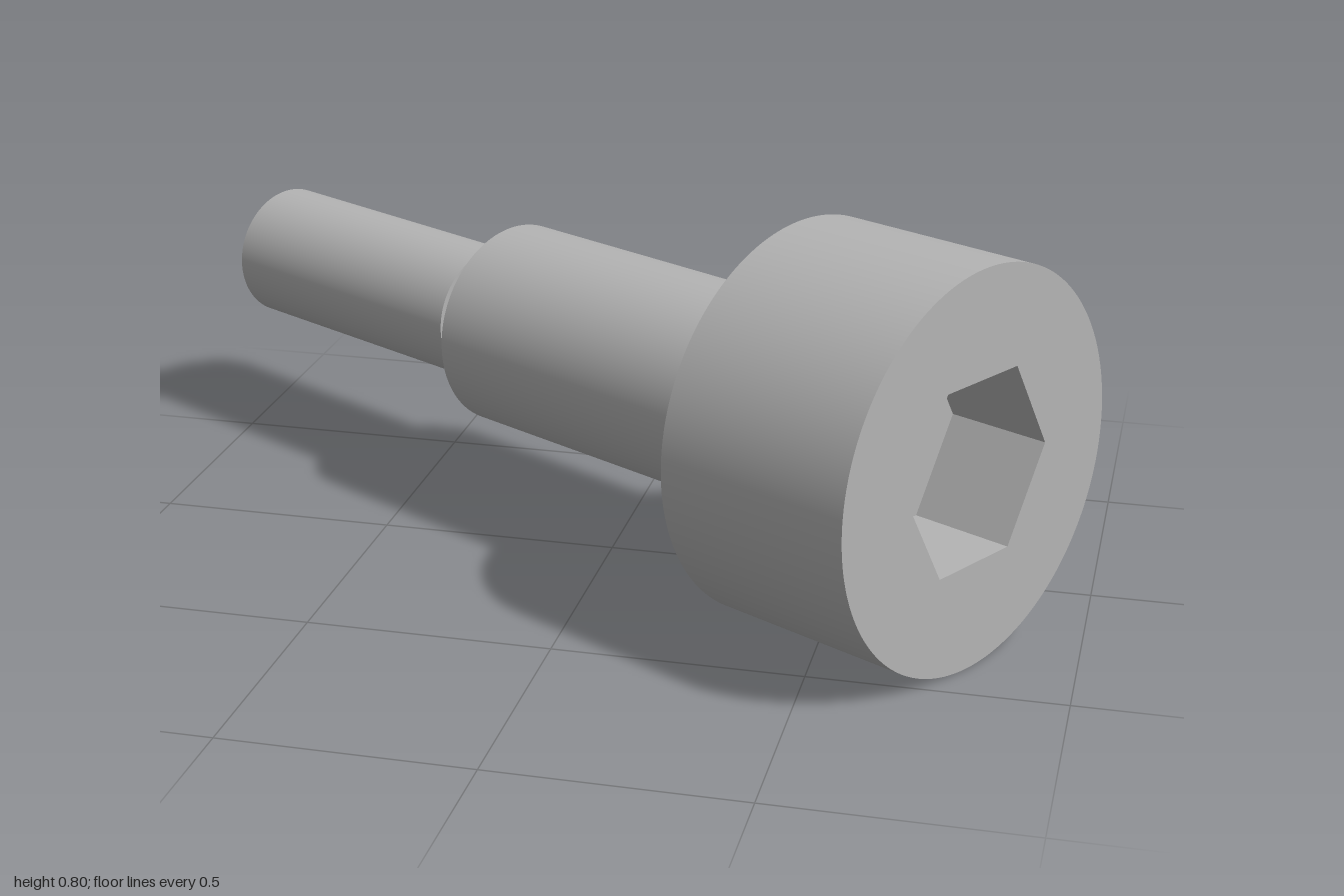
import * as THREE from 'three';
import { toCreasedNormals } from 'three/addons/utils/BufferGeometryUtils.js';

const SIDES = 96;

export function createModel() {
  const model = new THREE.Group();
  model.name = 'shoulderScrew';
  const steel = new THREE.MeshStandardMaterial({ color: 0xb4b4b4 });
  steel.name = 'grey steel';

  // The screw is built along z with the head's front face at z = 0
  const screw = new THREE.Group();
  screw.name = 'screw';
  screw.position.set(0.798, 0.402, 0.385);
  screw.rotation.y = Math.PI / 3;
  model.add(screw);

  const add = (name, geometry) => {
    const mesh = new THREE.Mesh(geometry, steel);
    mesh.name = name;
    screw.add(mesh);
  };
  // Solid round or hexagonal section between two positions on the axis
  const section = (name, radius, front, back, sides = SIDES) => {
    const g = new THREE.CylinderGeometry(radius, radius, front - back, sides);
    g.rotateX(Math.PI / 2).translate(0, 0, (front + back) / 2);
    add(name, g);
  };

  // Head with a hexagonal opening
  const headLength = 0.435, socketDepth = 0.22, socketRadius = 0.2125;
  const outline = new THREE.Shape();
  outline.absarc(0, 0, 0.402, 0, Math.PI * 2);
  const hexagon = [];
  for (let i = 0; i < 6; i++) {
    const a = (i * Math.PI) / 3;
    hexagon.push(new THREE.Vector2(Math.cos(a) * socketRadius, Math.sin(a) * socketRadius));
  }
  outline.holes.push(new THREE.Path(hexagon));
  const head = new THREE.ExtrudeGeometry(outline, {
    depth: headLength, bevelEnabled: false, curveSegments: SIDES,
  });
  head.translate(0, 0, -headLength);
  add('head', toCreasedNormals(head, 0.5));

  // Flat floor of the socket
  const floorShape = new THREE.Shape(hexagon);
  add('socketFloor', new THREE.ShapeGeometry(floorShape).translate(0, 0, -socketDepth));

  // Stepped shaft
  section('shoulder', 0.216, -headLength, -1.238);
  // Underside of the head around the shoulder
  add('headUnderside', new THREE.CircleGeometry(0.216, SIDES).rotateY(Math.PI).translate(0, 0, -headLength));
  section('neck', 0.112, -1.238, -1.318);
  section('threadedEnd', 0.145, -1.318, -1.993);

  return model;
}
